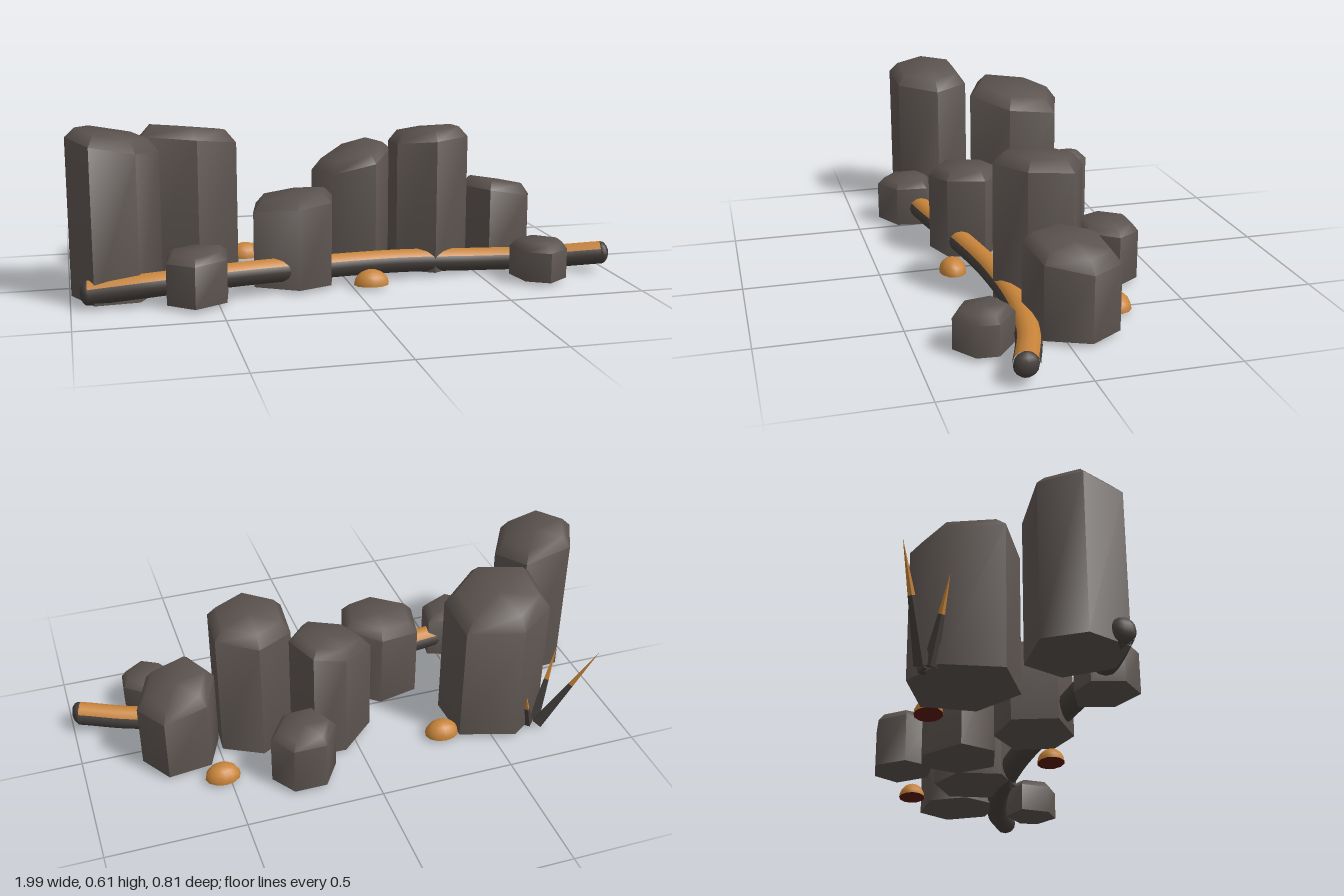
import * as THREE from 'three';
import { toCreasedNormals } from 'three/addons/utils/BufferGeometryUtils.js';

const mat = (name, color) => {
  const m = new THREE.MeshStandardMaterial({ color });
  m.name = name;
  return m;
};

// Irregular stone prism: outline seen from above, bevelled and tilted top
function columnGeometry(outline, height, slopeX, slopeZ) {
  const n = outline.length;
  const cx = outline.reduce((s, p) => s + p[0], 0) / n;
  const cz = outline.reduce((s, p) => s + p[1], 0) / n;
  const r = Math.hypot(outline[0][0] - cx, outline[0][1] - cz);
  const bevel = 0.25 * r;
  const topY = (x, z) => height + slopeX * (x - cx) + slopeZ * (z - cz);
  const base = outline.map(([x, z]) => [x, 0, z]);
  const shoulder = outline.map(([x, z]) => [x, topY(x, z) - bevel, z]);
  const rim = outline.map(([x, z]) => {
    const px = cx + (x - cx) * 0.78, pz = cz + (z - cz) * 0.78;
    return [px, topY(px, pz), pz];
  });
  const pos = [];
  const tri = (a, b, c) => pos.push(...a, ...b, ...c);
  for (let i = 0; i < n; i++) {
    const j = (i + 1) % n;
    for (const [lo, hi] of [[base, shoulder], [shoulder, rim]]) {
      tri(lo[j], lo[i], hi[i]);
      tri(lo[j], hi[i], hi[j]);
    }
    tri([cx, height, cz], rim[j], rim[i]);
    tri([cx, 0, cz], base[i], base[j]);
  }
  const g = new THREE.BufferGeometry();
  g.setAttribute('position', new THREE.Float32BufferAttribute(pos, 3));
  return toCreasedNormals(g, 1.05);
}

// Tube whose upward faces use material 1 and the rest material 0
function rootGeometry(curve, radius) {
  const g = new THREE.TubeGeometry(curve, 44, radius, 12);
  const nor = g.attributes.normal, idx = g.index.array;
  const parts = [[], []];
  for (let i = 0; i < idx.length; i += 3) {
    const t = [idx[i], idx[i + 1], idx[i + 2]];
    const up = t.reduce((s, v) => s + nor.getY(v), 0) / 3;
    parts[up > 0.45 ? 1 : 0].push(...t);
  }
  g.setIndex([...parts[0], ...parts[1]]);
  g.addGroup(0, parts[0].length, 0);
  g.addGroup(parts[0].length, parts[1].length, 1);
  return g;
}

export function createModel() {
  const model = new THREE.Group();
  model.name = 'stoneColumns';
  const stone = mat('stone', 0x5a524e);
  const bark = mat('dark bark', 0x453f3b);
  const amber = mat('amber', 0xc8843a);
  const ember = mat('dark red underside', 0x5a1a10);
  const add = (name, geometry, material, parent = model) => {
    const m = new THREE.Mesh(geometry, material);
    m.name = name;
    parent.add(m);
    return m;
  };

  // Stone columns: outline, height, slope along x, slope along z
  const columns = [
    [[[-0.995, 0.14], [-0.93, 0.005], [-0.745, -0.01], [-0.675, 0.125], [-0.765, 0.275], [-0.92, 0.285]], 0.57, -0.2, 0],
    [[[-0.58, -0.36], [-0.38, -0.295], [-0.37, -0.105], [-0.53, 0.02], [-0.725, -0.06], [-0.715, -0.27]], 0.535, -0.1, 0.13],
    [[[-0.165, -0.015], [-0.045, 0.08], [-0.08, 0.22], [-0.205, 0.265], [-0.355, 0.18], [-0.32, 0.02]], 0.325, 0.1, 0.03],
    [[[0.055, -0.245], [0.175, -0.24], [0.225, -0.1], [0.135, 0.03], [-0.025, 0.01], [-0.08, -0.12]], 0.435, 0.25, -0.1],
    [[[0.18, -0.405], [0.3, -0.405], [0.36, -0.315], [0.285, -0.205], [0.165, -0.2], [0.115, -0.305]], 0.213, 0, 0.02],
    [[[0.35, -0.17], [0.49, -0.095], [0.48, 0.065], [0.335, 0.15], [0.205, 0.07], [0.215, -0.095]], 0.523, 0.07, 0.08],
    [[[0.55, -0.17], [0.71, -0.19], [0.785, -0.07], [0.72, 0.08], [0.56, 0.11], [0.49, -0.03]], 0.305, -0.18, 0.1],
    [[[-0.57, 0.185], [-0.455, 0.225], [-0.475, 0.345], [-0.59, 0.404], [-0.68, 0.33], [-0.665, 0.22]], 0.175, 0.03, -0.02],
    [[[0.7, 0.17], [0.79, 0.245], [0.785, 0.32], [0.7, 0.38], [0.62, 0.335], [0.6, 0.22]], 0.137, 0, 0],
  ];
  columns.forEach(([outline, h, sx, sz], i) =>
    add(`column${i + 1}`, columnGeometry(outline, h, sx, sz), stone));

  // Winding root with a bright upper side and rounded ends
  const path = [
    [-0.94, 0.04, 0.255], [-0.7, 0.06, 0.268], [-0.4, 0.07, 0.24], [-0.1, 0.06, 0.175],
    [0.2, 0.048, 0.122], [0.5, 0.032, 0.105], [0.75, 0.034, 0.14], [0.97, 0.057, 0.21],
  ].map((p) => new THREE.Vector3(...p));
  const root = new THREE.Group();
  root.name = 'root';
  model.add(root);
  add('rootBody', rootGeometry(new THREE.CatmullRomCurve3(path), 0.044), [bark, amber], root);
  for (const end of [path[0], path[path.length - 1]]) {
    const cap = add('rootEnd', new THREE.SphereGeometry(0.043, 12, 8), bark, root);
    cap.position.copy(end);
    cap.scale.x = 0.65;
  }

  // Small domes on the ground with dark undersides
  for (const [x, z] of [[0.065, 0.235], [-0.32, -0.262], [0.525, -0.243]]) {
    const dome = new THREE.Group();
    dome.name = 'dome';
    dome.position.set(x, 0, z);
    dome.scale.set(0.065, 0.054, 0.051);
    model.add(dome);
    add('domeTop', new THREE.SphereGeometry(1, 12, 5, 0, Math.PI * 2, 0, Math.PI / 2), amber, dome);
    add('domeBase', new THREE.CircleGeometry(1, 12).rotateX(Math.PI / 2), ember, dome);
  }

  // Thin thorns with bright tips: base, tip, base radius
  const thorns = [
    [[-0.695, 0, -0.32], [-0.865, 0.35, -0.404], 0.027],
    [[-0.69, 0, -0.295], [-0.78, 0.29, -0.245], 0.025],
    [[-0.655, 0, -0.31], [-0.62, 0.16, -0.345], 0.022],
  ];
  for (const [from, to, r] of thorns) {
    const a = new THREE.Vector3(...from);
    const dir = new THREE.Vector3(...to).sub(a);
    const len = dir.length();
    const thorn = new THREE.Group();
    thorn.name = 'thorn';
    thorn.position.copy(a);
    thorn.quaternion.setFromUnitVectors(new THREE.Vector3(0, 1, 0), dir.normalize());
    model.add(thorn);
    const lower = new THREE.CylinderGeometry(r * 0.45, r, len * 0.55, 4).translate(0, len * 0.275, 0);
    const tip = new THREE.ConeGeometry(r * 0.45, len * 0.45, 4).translate(0, len * 0.775, 0);
    add('thornStem', toCreasedNormals(lower, 0.5), bark, thorn);
    add('thornTip', toCreasedNormals(tip, 0.5), amber, thorn);
  }
  return model;
}
